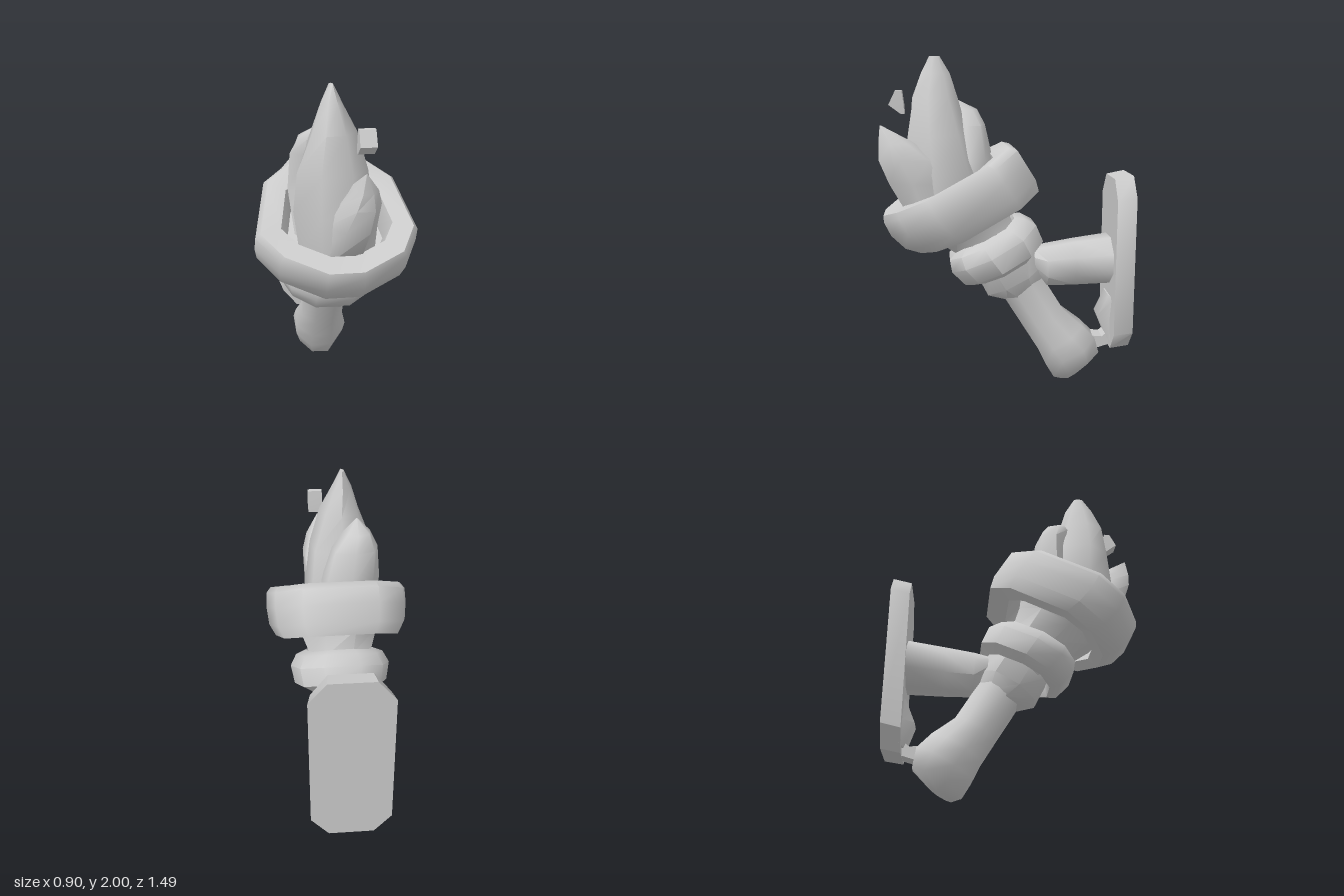
import * as THREE from 'three';
import { toCreasedNormals } from 'three/addons/utils/BufferGeometryUtils.js';

const grey = new THREE.MeshStandardMaterial({ color: 0xcccccc });

function part(name, geometry, crease) {
  const mesh = new THREE.Mesh(toCreasedNormals(geometry, crease), grey);
  mesh.name = name;
  return mesh;
}

// Skin over rows of points; a closed skin joins the last row to the first, an open one is capped.
function skin(rows, closed) {
  const sides = rows[0].length, index = [];
  const spans = closed ? rows.length : rows.length - 1;
  for (let j = 0; j < spans; j++) {
    const low = j * sides, high = ((j + 1) % rows.length) * sides;
    for (let i = 0; i < sides; i++) {
      const n = (i + 1) % sides;
      index.push(low + i, low + n, high + n, low + i, high + n, high + i);
    }
  }
  if (!closed) {
    const last = spans * sides;
    for (let i = 1; i < sides - 1; i++) {
      index.push(0, i + 1, i, last, last + i, last + i + 1);
    }
  }
  const g = new THREE.BufferGeometry();
  g.setAttribute('position', new THREE.Float32BufferAttribute(rows.flat(2), 3));
  g.setIndex(index);
  g.computeVertexNormals();
  return g;
}

// Elliptical sections [x, y, z, radiusX, radiusZ], listed bottom to top.
function loft(sections, sides, wobble = 0) {
  return skin(sections.map(([x, y, z, rx, rz], j) => Array.from({ length: sides }, (_, i) => {
    const a = ((i + 0.5) / sides) * Math.PI * 2;
    const k = 1 + wobble * Math.sin(i * 2.4 + j * 1.7);
    return [x + Math.sin(a) * rx * k, y, z + Math.cos(a) * rz * k];
  })), false);
}

// Chunky ring: half an outline [x, z] from front to back is mirrored,
// then swept by a profile of [scale, height, shift in z].
function ring(half, profile, wobble) {
  const outline = [...half, ...half.map(([x, z]) => [-x, z]).reverse()];
  return skin(profile.map(([s, y, dz]) => outline.map(([x, z], i) => {
    const k = s * (1 + wobble * Math.sin(i * 2.1));
    return [x * k, y + wobble * 0.5 * Math.sin(i * 1.7), z * k + dz];
  })), true);
}

// Side outline of [z, y] corners, extruded across x.
function sideSlab(corners, width) {
  const shape = new THREE.Shape(corners.map(([z, y]) => new THREE.Vector2(z, y)));
  const g = new THREE.ExtrudeGeometry(shape, { depth: width, bevelEnabled: false });
  return g.translate(0, 0, -width / 2).rotateY(-Math.PI / 2);
}

export function createModel() {
  const model = new THREE.Group();
  model.name = 'wallTorch';

  // Leaning torch body: local y runs along the torch
  const torch = new THREE.Group();
  torch.name = 'torchBody';
  torch.rotation.x = 0.502;
  model.add(torch);

  torch.add(part('handle', loft([
    [0, -0.17, -0.38, 0.07, 0.07],
    [0, -0.12, -0.44, 0.14, 0.17],
    [0, -0.02, -0.45, 0.175, 0.19],
    [0, 0.09, -0.435, 0.175, 0.17],
    [0, 0.24, -0.405, 0.14, 0.14],
    [0, 0.55, -0.39, 0.145, 0.14],
  ], 8, 0.03), 1.2));

  torch.add(part('collar', loft([
    [0, 0.47, -0.39, 0.13, 0.13],
    [0, 0.56, -0.375, 0.18, 0.2],
    [0, 0.72, -0.37, 0.19, 0.2],
  ], 8, 0.04), 0.8));

  torch.add(part('neck', loft([
    [0, 0.68, -0.365, 0.19, 0.19],
    [0, 0.88, -0.34, 0.2, 0.2],
    [0, 1.02, -0.31, 0.25, 0.25],
    [0, 1.14, -0.3, 0.31, 0.31],
  ], 8, 0.03), 0.8));

  const lower = part('lowerRing', ring(
    [[0.11, 0.285], [0.25, 0.19], [0.31, 0.03], [0.25, -0.18], [0.11, -0.285]],
    [[0.72, -0.125, 0], [0.93, -0.09, -0.01], [1, 0.02, 0], [0.88, 0.09, 0.01],
      [0.68, 0.115, 0], [0.5, 0.05, 0], [0.55, -0.07, 0]],
    0.015), 0.9);
  lower.position.set(0, 0.785, -0.355);
  torch.add(lower);

  const upper = part('upperRing', ring(
    [[0.1, 0.44], [0.34, 0.31], [0.45, 0.12], [0.38, -0.29], [0.22, -0.445]],
    [[0.65, -0.14, -0.02], [0.88, -0.15, -0.045], [0.97, -0.08, -0.02], [1, 0.03, 0],
      [0.99, 0.12, 0], [0.93, 0.155, 0.01], [0.68, 0.145, 0], [0.6, 0, 0]],
    0.015), 0.9);
  upper.position.set(0, 1.145, -0.31);
  torch.add(upper);

  // Upright flame tongues
  const flames = {
    mainFlame: [
      [-0.02, 1.08, 0.36, 0.2, 0.22],
      [-0.02, 1.33, 0.37, 0.22, 0.24],
      [-0.03, 1.55, 0.4, 0.195, 0.19],
      [-0.03, 1.76, 0.415, 0.12, 0.14],
      [-0.04, 1.9, 0.41, 0.06, 0.085],
      [-0.04, 2, 0.41, 0.012, 0.03],
    ],
    frontFlame: [
      [0.03, 1.12, 0.45, 0.16, 0.16],
      [0.06, 1.28, 0.5, 0.14, 0.19],
      [0.09, 1.42, 0.57, 0.11, 0.185],
      [0.1, 1.51, 0.635, 0.065, 0.11],
      [0.09, 1.61, 0.72, 0.005, 0.005],
    ],
    backFlame: [
      [-0.03, 1.12, 0.25, 0.2, 0.17],
      [-0.07, 1.4, 0.2, 0.18, 0.125],
      [-0.1, 1.6, 0.21, 0.14, 0.1],
      [-0.12, 1.69, 0.24, 0.08, 0.08],
      [-0.12, 1.75, 0.29, 0.005, 0.005],
    ],
  };
  for (const [name, sections] of Object.entries(flames)) {
    model.add(part(name, loft(sections, 7, 0.05), 1.1));
  }

  // Floating ember
  model.add(part('ember', loft([
    [0.11, 1.68, 0.59, 0.06, 0.015],
    [0.11, 1.73, 0.625, 0.062, 0.06],
    [0.11, 1.81, 0.61, 0.06, 0.025],
  ], 4), 0.5));

  // Wall plate with clipped corners, slightly smaller at its front face
  const outline = [[0.13, 0.255], [0.232, 0.37], [0.232, 1.19], [0.13, 1.31]];
  const loop = [...outline, ...outline.map(([x, y]) => [-x, y]).reverse()];
  const plateShape = new THREE.Shape(loop.map(([x, y]) => new THREE.Vector2(x, y)));
  const plateGeo = new THREE.ExtrudeGeometry(plateShape, { depth: 0.11, bevelEnabled: false });
  const p = plateGeo.attributes.position;
  for (let i = 0; i < p.count; i++) {
    if (p.getZ(i) > 0.05) p.setXY(i, p.getX(i) * 0.92, p.getY(i) - 0.02);
  }
  plateGeo.translate(0, 0, -0.75);
  model.add(part('wallPlate', plateGeo, 0.7));

  // Rounded support arm, laid along z and widening towards the plate
  const arm = part('supportArm', loft([
    [-0.02, -0.66, -0.78, 0.19, 0.155],
    [0, -0.42, -0.765, 0.15, 0.145],
    [0, -0.25, -0.75, 0.145, 0.13],
    [0, -0.17, -0.79, 0.11, 0.07],
  ], 8), 0.9);
  arm.rotation.x = Math.PI / 2;
  model.add(arm);

  // Small foot brackets joining the plate and the handle's end
  model.add(part('footTab', loft([
    [0, 0.28, -0.65, 0.16, 0.02],
    [-0.03, 0.42, -0.64, 0.12, 0.075],
    [0, 0.56, -0.65, 0.14, 0.02],
  ], 6), 0.9));
  model.add(part('footBrace', sideSlab(
    [[-0.5, 0.3], [-0.6, 0.29], [-0.66, 0.34], [-0.7, 0.255], [-0.58, 0.22], [-0.5, 0.2]], 0.12), 0.5));

  return model;
}
